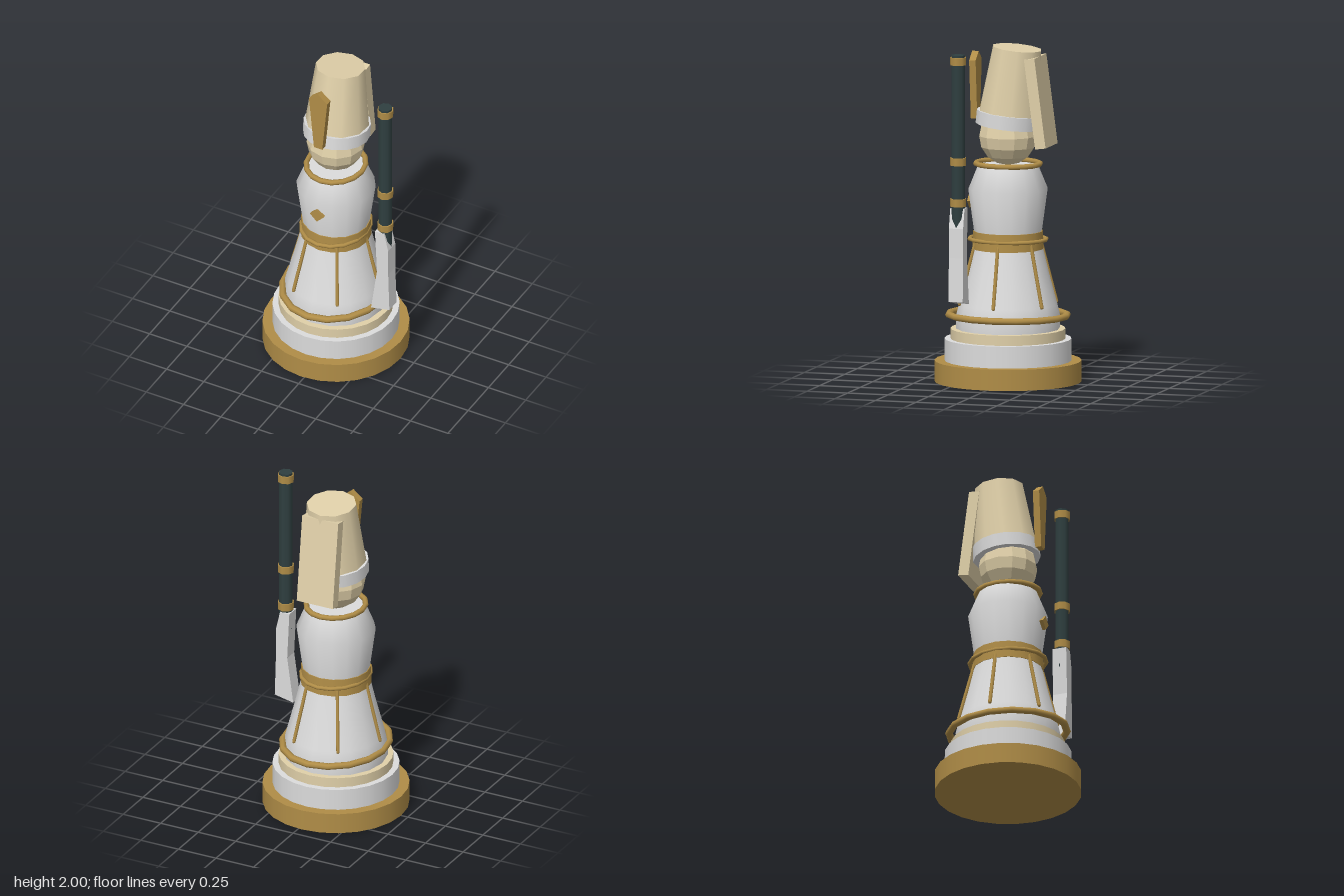
import * as THREE from 'three';

const mat = (name, color) => {
  const m = new THREE.MeshStandardMaterial({ color });
  m.name = name;
  return m;
};

export function createModel() {
  const gold = mat('gold', 0xb08d47);
  const white = mat('white', 0xdcdcdc);
  const cream = mat('cream', 0xe0d0a9);
  const dark = mat('dark steel', 0x2f3f40);
  const creamFlat = cream.clone();
  creamFlat.name = 'cream faceted';
  creamFlat.flatShading = true;

  const model = new THREE.Group();
  const figure = new THREE.Group();
  figure.name = 'figure';
  figure.position.x = -0.022;
  model.add(figure);

  const add = (parent, name, geometry, material, x = 0, y = 0, z = 0) => {
    const mesh = new THREE.Mesh(geometry, material);
    mesh.name = name;
    mesh.position.set(x, y, z);
    parent.add(mesh);
    return mesh;
  };
  // Cylinder given by its bottom and top heights
  const drum = (parent, name, rTop, rBottom, y0, y1, sides, material, x = 0, z = 0) =>
    add(parent, name, new THREE.CylinderGeometry(rTop, rBottom, y1 - y0, sides), material, x, (y0 + y1) / 2, z);
  const lathe = (name, points, material) =>
    add(figure, name, new THREE.LatheGeometry(points.map(p => new THREE.Vector2(...p)), 16), material);
  // Horizontal ring, stretched front to back
  const ring = (name, radius, tube, y, stretch) => {
    const g = new THREE.TorusGeometry(radius, tube, 8, 16).rotateX(Math.PI / 2).scale(1, 1, stretch);
    return add(figure, name, g, gold, 0, y, 0);
  };

  // Stepped pedestal
  drum(figure, 'pedestalBase', 0.434, 0.434, 0, 0.125, 24, gold);
  drum(figure, 'pedestalMiddle', 0.375, 0.375, 0.125, 0.255, 24, white);
  drum(figure, 'pedestalTop', 0.339, 0.339, 0.255, 0.315, 24, cream);

  // Coat skirt, belt and torso
  lathe('skirt', [[0.306, 0.31], [0.308, 0.39], [0.291, 0.46], [0.243, 0.64], [0.205, 0.8]], white);
  lathe('torso', [[0.2, 0.8], [0.201, 0.895], [0.235, 1.145], [0.178, 1.285]], white);
  const cap = add(figure, 'shoulderTop', new THREE.CircleGeometry(0.178, 16), white, 0, 1.284, 0);
  cap.rotation.x = -Math.PI / 2;
  drum(figure, 'belt', 0.206, 0.211, 0.79, 0.895, 16, gold);
  ring('hemRing', 0.308, 0.02, 0.395, 1.15);
  ring('beltRing', 0.2, 0.012, 0.846, 1.15);
  ring('collarRing', 0.172, 0.016, 1.294, 1.11);

  // Six trim ribs down the skirt
  const up = new THREE.Vector3(0, 1, 0);
  for (let i = 0; i < 6; i++) {
    const a = i * Math.PI / 3;
    const low = new THREE.Vector3(Math.cos(a) * 0.293, 0.465, Math.sin(a) * 0.293);
    const high = new THREE.Vector3(Math.cos(a) * 0.2, 0.82, Math.sin(a) * 0.2);
    const dir = high.clone().sub(low);
    const rib = add(figure, 'skirtRib', new THREE.CapsuleGeometry(0.011, dir.length(), 2, 6), gold);
    rib.position.copy(low).add(high).multiplyScalar(0.5);
    rib.quaternion.setFromUnitVectors(up, dir.normalize());
  }

  // Chest diamond
  const badge = add(figure, 'chestDiamond', new THREE.BoxGeometry(0.063, 0.063, 0.03), gold, 0, 1.066, 0.224);
  badge.rotation.z = Math.PI / 4;

  // Head and tall hat, leaning back
  add(figure, 'head', new THREE.SphereGeometry(0.174, 12, 8), creamFlat, 0, 1.46, 0);
  const hat = new THREE.Group();
  hat.name = 'hat';
  hat.position.set(0, 1.545, -0.01);
  hat.rotation.x = -0.105;
  figure.add(hat);
  drum(hat, 'hatCrown', 0.148, 0.196, 0, 0.441, 10, cream);
  drum(hat, 'hatBand', 0.2, 0.2, -0.025, 0.055, 16, white);

  // Pointed plate ahead of the hat
  const plate = new THREE.Shape([[-0.028, 1.555], [0.028, 1.555], [0.061, 1.905], [0, 1.955], [-0.061, 1.905]]
    .map(p => new THREE.Vector2(...p)));
  add(figure, 'hatPlate', new THREE.ExtrudeGeometry(plate, { depth: 0.04, bevelEnabled: false }), gold, 0, 0, 0.181);

  // Flap hanging behind the hat
  const flap = add(figure, 'hatFlap', new THREE.BoxGeometry(0.24, 0.535, 0.065), cream, 0, 1.67, -0.202);
  flap.rotation.x = 0.13;

  // Long gun standing at the left side
  const gun = new THREE.Group();
  gun.name = 'longGun';
  model.add(gun);
  const gx = 0.404, gz = 0.175;
  drum(gun, 'barrel', 0.042, 0.042, 0.96, 1.988, 8, dark, gx, gz);
  for (const y of [1.952, 1.355, 1.111])
    drum(gun, 'barrelBand', 0.049, 0.049, y - 0.023, y + 0.023, 8, gold, gx, gz);
  const stock = new THREE.Shape([[0.332, 0.5], [0.455, 0.525], [0.447, 0.785], [0.447, 0.96], [0.42, 1.077],
    [0.358, 1.077], [0.372, 0.785]].map(p => new THREE.Vector2(...p)));
  add(gun, 'stock', new THREE.ExtrudeGeometry(stock, { depth: 0.088, bevelEnabled: false }), white, 0, 0, gz - 0.044);

  return model;
}
